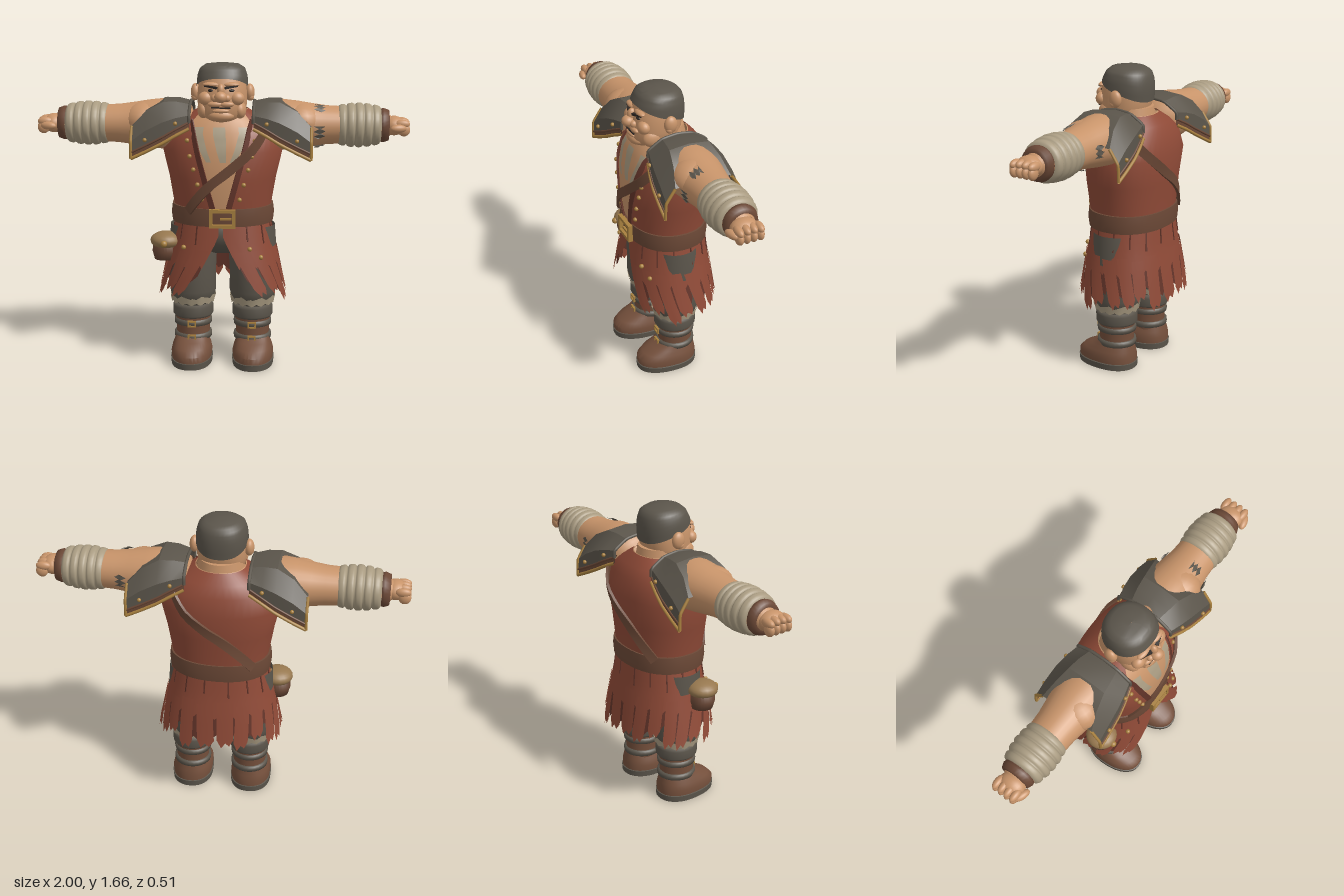
import * as THREE from 'three';
import { mergeVertices, toCreasedNormals } from 'three/addons/utils/BufferGeometryUtils.js';

const mat = (name, color) => new THREE.MeshStandardMaterial({ name, color, side: THREE.DoubleSide });
const V = (x, y, z) => new THREE.Vector3(x, y, z);
const TAU = Math.PI * 2, { lerp, clamp } = THREE.MathUtils;

// Body profiles, rows of [y, half width, front depth, back depth, z centre]
const COAT = [[.8, .255, .2, .2], [.9, .265, .215, .205], [1.05, .29, .228, .215], [1.2, .325, .222, .23],
  [1.3, .3, .195, .205], [1.36, .22, .165, .175], [1.41, .135, .12, .125]];
const SKIRT = [[.38, .345, .265, .262], [.6, .3, .235, .232], [.7, .28, .22, .215], [.84, .255, .2, .2]];
const HEAD = [[1.33, .06, .06, .08, .04], [1.36, .1, .125, .1, .04], [1.4, .124, .15, .11, .04], [1.45, .132, .147, .125, .04],
  [1.5, .132, .142, .13, .04], [1.54, .128, .135, .13, .04], [1.62, .11, .1, .11, .04]];
const HAIR = [[1.46, .13, .145, .138, .04], [1.54, .135, .14, .142, .04], [1.59, .131, .125, .138, .04],
  [1.63, .118, .105, .125, .04], [1.652, .085, .08, .09, .04], [1.66, .001, .001, .001, .04]];
const FOOT = [[.035, .11, .195, .145, .04], [.07, .113, .195, .145, .04], [.1, .106, .165, .14, .04],
  [.125, .096, .11, .135, .04], [.15, .088, .07, .13, .04]];
const SOLE = [[0, .001, .001, .001, .04], [.001, .113, .197, .148, .04], [.035, .116, .2, .15, .04], [.04, .1, .18, .13, .04]];

// Point on a profile at angle a (0 = front, towards +x) and height y
function surf(rows, a, y, s = 1) {
  let i = 0;
  while (i < rows.length - 2 && y > rows[i + 1][0]) i++;
  const p = rows[i], q = rows[i + 1], t = clamp((y - p[0]) / (q[0] - p[0]), 0, 1);
  const m = k => lerp(p[k] ?? 0, q[k] ?? 0, t);
  const pw = n => Math.sign(n) * Math.abs(n) ** .9, c = Math.cos(a);
  return V(pw(Math.sin(a)) * m(1) * s, y, m(4) + pw(c) * (c > 0 ? m(2) : m(3)) * s);
}

// Surface from a rule fn(u, v)
function grid(nu, nv, fn, crease = .8) {
  const pos = [], idx = [], n = nu + 1;
  for (let j = 0; j <= nv; j++) for (let i = 0; i <= nu; i++) pos.push(...fn(i / nu, j / nv, i, j).toArray());
  for (let j = 0; j < nv; j++) for (let i = 0; i < nu; i++) {
    const a = j * n + i;
    idx.push(a, a + 1, a + n + 1, a, a + n + 1, a + n);
  }
  const g = new THREE.BufferGeometry();
  g.setAttribute('position', new THREE.Float32BufferAttribute(pos, 3));
  g.setIndex(idx);
  return toCreasedNormals(mergeVertices(g, 1e-5), crease);
}
const loft = (rows, s = 1, open = () => 0, nu = 40) => grid(nu, rows.length - 1, (u, v, i, j) => {
  const y = rows[j][0], o = open(y);
  return surf(rows, lerp(o, TAU - o, i / nu), y, s);
});

// Flat band swept along points, facing away from the y axis
function band(pts, width, thick) {
  return grid(4, pts.length - 1, (u, v, i, j) => {
    const p = pts[j], t = pts[Math.min(j + 1, pts.length - 1)].clone().sub(pts[Math.max(j - 1, 0)]);
    const n = V(p.x, 0, p.z).normalize(), side = t.cross(n).normalize(), k = i % 4;
    return p.clone().addScaledVector(side, (k === 0 || k === 3 ? -.5 : .5) * width).addScaledVector(n, k < 2 ? 0 : thick);
  }, .6);
}
const lathe = (pts, n = 28) => new THREE.LatheGeometry(pts.map(p => new THREE.Vector2(p[0], p[1])), n);
const tube = (pts, r) => new THREE.TubeGeometry(new THREE.CatmullRomCurve3(pts, false, 'catmullrom', .2), 24, r, 8);

// Rectangular buckle frame
function frame(w, h, t, d) {
  const s = new THREE.Shape(), o = new THREE.Path();
  const rect = (p, a, b) => p.moveTo(-a, -b).lineTo(a, -b).lineTo(a, b).lineTo(-a, b).closePath();
  rect(s, w / 2, h / 2); rect(o, w / 2 - t, h / 2 - t);
  s.holes.push(o);
  return new THREE.ExtrudeGeometry(s, { depth: d, bevelEnabled: false });
}

export function createModel() {
  const model = new THREE.Group();
  const skin = mat('skin', 0xc8946a), coat = mat('coat red', 0x8f4a37), lining = mat('dark red', 0x64352a),
    leather = mat('brown leather', 0x6b4836), grey = mat('grey leather', 0x5b554b), cloth = mat('wrap cloth', 0xaa9c82),
    brass = mat('brass', 0xa8803f), dark = mat('dark', 0x2e2723), boot = mat('boot brown', 0x75503c), tan = mat('tan flap', 0x97784f);
  const add = (parent, name, geo, m, x = 0, y = 0, z = 0) => {
    const o = new THREE.Mesh(geo, m);
    o.name = name; o.position.set(x, y, z); parent.add(o);
    return o;
  };
  const ball = (parent, name, m, x, y, z, sx, sy = sx, sz = sx) => {
    const o = add(parent, name, new THREE.SphereGeometry(1, 20, 14), m, x, y, z);
    o.scale.set(sx, sy, sz);
    return o;
  };
  const pair = (name, build) => [1, -1].forEach(s => {
    const g = new THREE.Group();
    g.name = (s > 0 ? 'left' : 'right') + name; g.scale.x = s;
    build(g, s); model.add(g);
  });

  // Torso with an open V at the front
  const half = y => y > 1.35 ? .15 : lerp(.025, .14, clamp((y - .9) / .45, 0, 1));
  const opening = y => Math.asin(clamp(half(y) / (Math.abs(surf(COAT, Math.PI / 2, y).x)), 0, .8)) * .95;
  add(model, 'chest', loft(COAT, .96), skin);
  add(model, 'coat', loft(COAT, 1, opening), coat);
  add(model, 'neck', new THREE.CylinderGeometry(.115, .14, .13, 28), skin, 0, 1.38, .01);
  for (const [a0, a1] of [[-.42, -.17], [-.07, 0], [.42, .17]]) {
    add(model, 'chestCloth', grid(4, 6, (u, v) => {
      const y = lerp(1.15, 1.33, v), mid = lerp(a1, a0, v);
      return surf(COAT, mid + (u - .5) * lerp(.08, .2, v) + (a0 === -.07 ? .035 : 0), y, .985);
    }), cloth);
  }
  for (const s of [1, -1]) {
    const edge = [];
    for (let i = 0; i <= 10; i++) { const y = .9 + i * .046; edge.push(surf(COAT, s * (opening(y) + .04), y, 1.005)); }
    add(model, 'lapelEdge', band(edge, .03, .007), lining);
    for (const y of [.95, 1.03, 1.11, 1.18, 1.26]) {
      const p = surf(COAT, s * (opening(y) + .2), y, 1.01);
      ball(model, 'stud', brass, p.x, p.y, p.z, .012);
    }
  }
  // Shoulder strap, front and back
  for (const back of [0, 1]) {
    const pts = [];
    for (let i = 0; i <= 14; i++) {
      const t = i / 14, a = lerp(back ? Math.PI - .95 : .9, back ? Math.PI + .75 : -.65, t);
      pts.push(surf(COAT, a, lerp(1.34, .88, t), 1.015));
    }
    add(model, 'shoulderStrap', band(pts, .05, .015), leather);
  }

  // Belt and buckle
  add(model, 'belt', loft([[.8, .255, .2, .195], [.802, .274, .218, .212], [.85, .28, .223, .216], [.898, .274, .22, .212], [.9, .255, .2, .195]]), leather);
  add(model, 'beltBuckle', frame(.14, .1, .018, .025), brass, .01, .85, .218);
  add(model, 'bucklePin', new THREE.BoxGeometry(.06, .012, .012), brass, .03, .85, .236);

  // Skirt: solid top with two layers of ragged strips
  const gap = y => Math.asin(clamp((.01 + .5 * Math.max(0, .74 - y)) / .32, 0, .9));
  add(model, 'skirt', grid(64, 6, (u, v, i) => {
    const y = lerp(.57 + (i % 2) * .03, .84, v), o = gap(y);
    return surf(SKIRT, lerp(o, TAU - o, u), y);
  }), coat);
  const strips = (n, name, m, top, low, s, fill) => {
    for (let k = 0; k < n; k++) {
      const hem = low + .025 * Math.sin(k * 2.4) + .015 * Math.cos(k * 5.1);
      add(model, name, grid(4, 4, (u, v, i) => {
        const y = lerp(hem + [.045, 0, .03, .012, .05][i], top + .012 * Math.sin(k * 3), v), o = gap(y) + .02;
        return surf(SKIRT, lerp(o, TAU - o, (k + .5 + (u - .5) * fill) / n) + (1 - v) * .03 * Math.sin(k * 1.7), y, s);
      }), m);
    }
  };
  strips(17, 'innerStrip', lining, .62, .45, .985, .96);
  strips(18, 'outerStrip', coat, .665, .4, 1.03, .84);
  for (let k = 0; k < 14; k++) {
    const a = .5 + k * .41;
    add(model, 'skirtFold', band([.8, .76, .72 - .02 * (k % 2)].map(y => surf(SKIRT, a, y, 1.004)), .008, .004), lining);
  }
  for (const [a, y] of [[-.72, .68], [.52, .68], [.75, .63]]) {
    const p = surf(SKIRT, a, y, 1.03);
    ball(model, 'skirtStud', brass, p.x, p.y, p.z, .013);
  }

  // Belt pouch on the right hip
  add(model, 'pouch', lathe([[.001, 0], [.06, .005], [.072, .05], [.065, .12], [.001, .14]]), leather, -.31, .585, .07);
  ball(model, 'pouchFlap', tan, -.307, .695, .075, .085, .048, .085);
  ball(model, 'pouchButton', brass, -.31, .69, .158, .018);

  // Head and hair
  add(model, 'head', loft(HEAD), skin);
  add(model, 'hair', grid(40, 10, (u, v) => {
    const a = u * TAU, y = lerp(1.53 + .055 * Math.cos(a), 1.66, 1 - (1 - v) ** 1.7);
    return surf(HAIR, a, y, 1.02);
  }), grey);
  ball(model, 'noseTip', skin, 0, 1.492, .2, .034, .03, .034);
  ball(model, 'noseBridge', skin, 0, 1.525, .178, .02, .035, .025);
  ball(model, 'chin', skin, 0, 1.39, .155, .07, .035, .045);
  ball(model, 'lowerLip', skin, 0, 1.418, .186, .045, .012, .014);
  add(model, 'mouth', new THREE.BoxGeometry(.1, .007, .009), dark, 0, 1.435, .189);
  pair('Face', g => {
    ball(g, 'nostril', skin, .032, 1.485, .183, .02);
    ball(g, 'cheek', skin, .082, 1.48, .148, .04, .036, .034);
    ball(g, 'upperLip', skin, .03, 1.452, .178, .04, .016, .018);
    ball(g, 'jowl', skin, .095, 1.415, .1, .035, .05, .06);
    ball(g, 'eye', dark, .05, 1.523, .162, .02, .009, .012);
    ball(g, 'ear', skin, .145, 1.5, .025, .026, .046, .036);
    ball(g, 'earLobe', skin, .15, 1.475, .035, .018, .02, .02);
    ball(g, 'browRidge', skin, .052, 1.553, .155, .045, .014, .022);
    const brow = add(g, 'eyebrow', new THREE.BoxGeometry(.068, .011, .02), dark, .053, 1.543, .17);
    brow.rotation.set(0, .35, .16);
  });

  // Arms
  pair('Arm', (g, s) => {
    const along = (name, pts, m, sz = 1) => {
      const o = add(g, name, lathe(pts).rotateZ(-Math.PI / 2), m, 0, 1.325, 0);
      o.scale.z = sz;
      return o;
    };
    along('upperArm', [[.001, .14], [.1, .17], [.13, .24], [.137, .32], [.128, .4], [.115, .48], [.104, .56], [.1, .64], [.08, .86], [.05, .9]], skin, 1.1);
    ball(g, 'armMuscle', skin, .42, 1.345, .02, .12, .1, .13);
    const wrap = [];
    for (let i = 0; i <= 40; i++) {
      const t = i / 40;
      wrap.push([.093 + .027 * Math.sin(Math.PI * (.15 + t * .75)) - .012 * (1 - Math.abs(Math.sin(t * Math.PI * 5))) ** 2, .615 + t * .23]);
    }
    along('forearmWrap', [[.08, .612], ...wrap, [.08, .847]], cloth, 1.05);
    along('wristCuff', [[.07, .838], [.088, .842], [.092, .86], [.082, .888], [.06, .89]], leather);
    // Fist
    ball(g, 'palm', skin, .915, 1.325, .01, .06, .052, .07);
    for (let k = 0; k < 4; k++) {
      const z = -.048 + k * .036;
      ball(g, 'knuckle', skin, .955, 1.345 - Math.abs(k - 1.5) * .004, z, .042, .024, .021);
      ball(g, 'fingerTip', skin, .965, 1.308, z, .033, .034, .02);
    }
    const thumb = ball(g, 'thumb', skin, .935, 1.318, .082, .045, .022, .022);
    thumb.rotation.y = .3;
    if (s > 0) {
      // Torn sleeve scraps on the left arm
      for (const [a, w] of [[.3, .5], [1.5, .6], [2.9, .5], [4.4, .6]]) {
        add(g, 'sleeveScrap', grid(5, 2, (u, v, i) => {
          const x = lerp(.485 + (i % 2) * .03, .55 - (i % 2) * .025, v), b = a + u * w, r = lerp(.122, .112, v);
          return V(x, 1.325 + Math.cos(b) * r, Math.sin(b) * r * 1.1);
        }), grey);
      }
    }
  });

  // Shoulder guards, rows of [x, low edge, top, half depth low, half depth top]
  const GUARD = [[.17, 1.35, 1.44, .165, .085], [.24, 1.315, 1.455, .185, .1], [.31, 1.275, 1.455, .198, .11], [.4, 1.23, 1.41, .205, .13], [.475, 1.195, 1.33, .208, .155]];
  const guardPoint = (r, i, drop = 0, out = 0) => {
    const [x, lo, hi, zl, zt] = r, k = Math.min(i, 6 - i), sg = i <= 3 ? 1 : -1;
    const p = [[zl, lo - drop], [zl * .98, lerp(lo, hi, .45)], [zt, hi], [0, hi + .012]][k];
    return V(x, p[1], sg * (p[0] + out));
  };
  pair('ShoulderGuard', g => {
    add(g, 'guardPlate', grid(6, 4, (u, v, i, j) => guardPoint(GUARD[j], i), .4), grey);
    add(g, 'guardCollar', tube([0, 1, 2, 3, 4, 5, 6].map(i => guardPoint(GUARD[0], i)), .009), grey);
    for (const e of [0, 6]) {
      add(g, 'guardUnderLayer', grid(1, 4, (u, v, i, j) => guardPoint(GUARD[j], e, u * .03, -.003)), leather);
      add(g, 'guardTrim', tube(GUARD.map(r => guardPoint(r, e, .03)), .009), brass);
      add(g, 'guardUpperTrim', tube(GUARD.map(r => guardPoint(r, e, -.003)), .006), leather);
      const last = GUARD[4], m = e ? 5 : 1;
      add(g, 'guardEndTrim', tube([guardPoint(last, e, .03), guardPoint(last, e), guardPoint(last, m), guardPoint(last, e ? 4 : 2)], .008), brass);
      for (const j of [1, 3]) {
        const p = guardPoint(GUARD[j], e, -.035, .003);
        ball(g, 'guardStud', brass, p.x, p.y, p.z, .011);
      }
    }
  });

  // Legs and boots
  ball(model, 'hips', grey, 0, .74, 0, .24, .13, .17);
  pair('Leg', g => {
    const round = (name, pts, m) => {
      const o = add(g, name, lathe(pts), m, .165, 0, .008);
      o.scale.z = 1.04;
      return o;
    };
    round('trouserLeg', [[.085, .32], [.115, .36], [.128, .41], [.126, .5], [.132, .62], [.12, .78]], grey);
    add(g, 'trouserFray', grid(28, 1, (u, v, i) => {
      const a = u * TAU, r = lerp(.118, .126, v), y = v ? .372 + .008 * (i % 3) : .335 + .012 * (i % 2);
      return V(.165 + Math.sin(a) * r, y, .008 + Math.cos(a) * r * 1.04);
    }), cloth);
    round('bootCuff', [[.09, .255], [.104, .258], [.112, .27], [.112, .315], [.105, .33], [.08, .332]], grey);
    round('bootShaft', [[.09, .1], [.092, .15], [.093, .2], [.098, .26]], boot);
    for (const y of [.228, .148]) {
      round('bootStrap', [[.09, y - .017], [.103, y - .015], [.105, y], [.103, y + .015], [.09, y + .017]], grey);
      add(g, 'bootBuckle', frame(.045, .036, .008, .012), brass, .165, y, .112);
    }
    add(g, 'bootFoot', loft(FOOT), boot, .17);
    add(g, 'bootSole', loft(SOLE), grey, .17);
  });
  return model;
}
